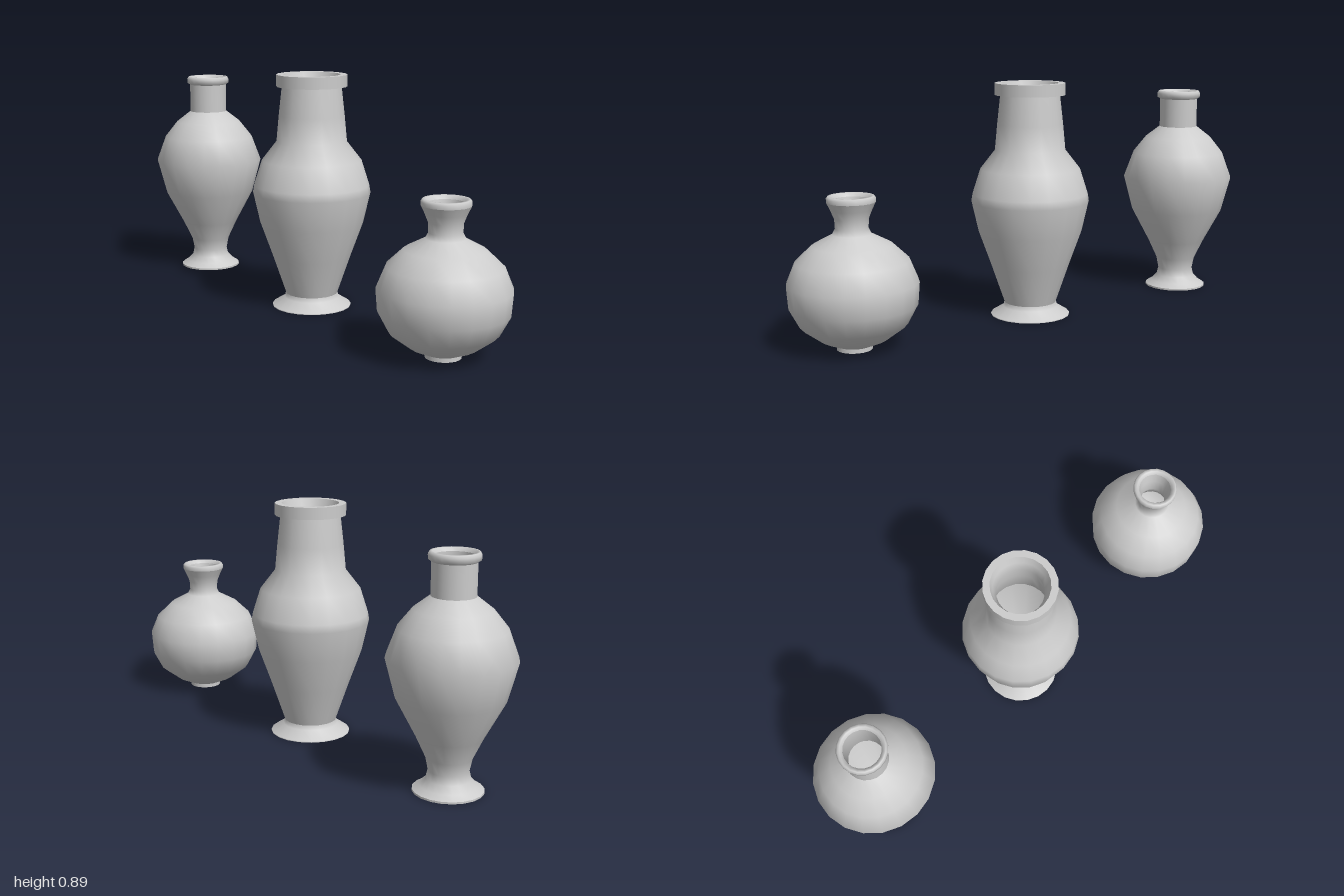
import * as THREE from 'three';

const SIDES = 20;
const material = new THREE.MeshStandardMaterial({ color: 0xcccccc });

// Each section is a list of [radius, height]; edges between sections stay sharp
function vase(name, x, sections) {
  const group = new THREE.Group();
  group.name = name;
  group.position.x = x;
  for (const [part, profile] of Object.entries(sections)) {
    const points = profile.map(([r, y]) => new THREE.Vector2(r, y));
    const mesh = new THREE.Mesh(new THREE.LatheGeometry(points, SIDES), material);
    mesh.name = part;
    group.add(mesh);
  }
  return group;
}

export function createModel() {
  const model = new THREE.Group();
  model.name = 'threeVases';

  // Slender vase with a straight neck and a flared foot
  model.add(vase('slenderVase', -0.776, {
    underside: [[0, 0], [0.124, 0]],
    footEdge: [[0.124, 0], [0.124, 0.007]],
    body: [[0.124, 0.007], [0.1, 0.022], [0.078, 0.045], [0.071, 0.075], [0.08, 0.12], [0.115, 0.195],
      [0.187, 0.33], [0.224, 0.47], [0.187, 0.57], [0.135, 0.635], [0.077, 0.68]],
    neck: [[0.077, 0.68], [0.077, 0.795]],
    lip: [[0.077, 0.795], [0.088, 0.802], [0.089, 0.818], [0.083, 0.828], [0.075, 0.828], [0.067, 0.815]],
    inside: [[0.067, 0.815], [0.065, 0.68], [0.12, 0.625], [0.17, 0.56], [0.205, 0.47],
      [0.168, 0.33], [0.1, 0.2], [0.06, 0.12], [0, 0.1]],
  }));

  // Tall vase with a broad neck and a square-edged rim
  model.add(vase('tallVase', 0, {
    underside: [[0, 0], [0.152, 0]],
    foot: [[0.152, 0], [0.152, 0.004], [0.105, 0.033], [0.1, 0.05]],
    body: [[0.1, 0.05], [0.15, 0.195], [0.198, 0.327], [0.225, 0.445], [0.22, 0.475],
      [0.19, 0.57], [0.134, 0.642], [0.125, 0.74], [0.113, 0.85]],
    rimUnderside: [[0.113, 0.85], [0.134, 0.85]],
    rimEdge: [[0.134, 0.85], [0.134, 0.895]],
    rimTop: [[0.134, 0.895], [0.108, 0.895]],
    inside: [[0.108, 0.895], [0.098, 0.865], [0.086, 0.83], [0.1, 0.74], [0.11, 0.64], [0.165, 0.57],
      [0.2, 0.445], [0.13, 0.2], [0.085, 0.08]],
    floor: [[0.085, 0.08], [0, 0.08]],
  }));

  // Round squat vase with a short flaring neck
  model.add(vase('roundVase', 0.769, {
    underside: [[0, 0], [0.063, 0]],
    foot: [[0.063, 0], [0.063, 0.015]],
    body: [[0.063, 0.015], [0.118, 0.038], [0.188, 0.09], [0.225, 0.16], [0.231, 0.24],
      [0.2, 0.315], [0.14, 0.372], [0.068, 0.41], [0.058, 0.43], [0.06, 0.465], [0.072, 0.495], [0.085, 0.522]],
    lip: [[0.085, 0.522], [0.086, 0.535], [0.08, 0.543], [0.07, 0.543], [0.062, 0.53]],
    inside: [[0.062, 0.53], [0.053, 0.49], [0.046, 0.44], [0.06, 0.39], [0.13, 0.35], [0.185, 0.3],
      [0.212, 0.24], [0.205, 0.165], [0.17, 0.1], [0.1, 0.055], [0, 0.04]],
  }));

  return model;
}
